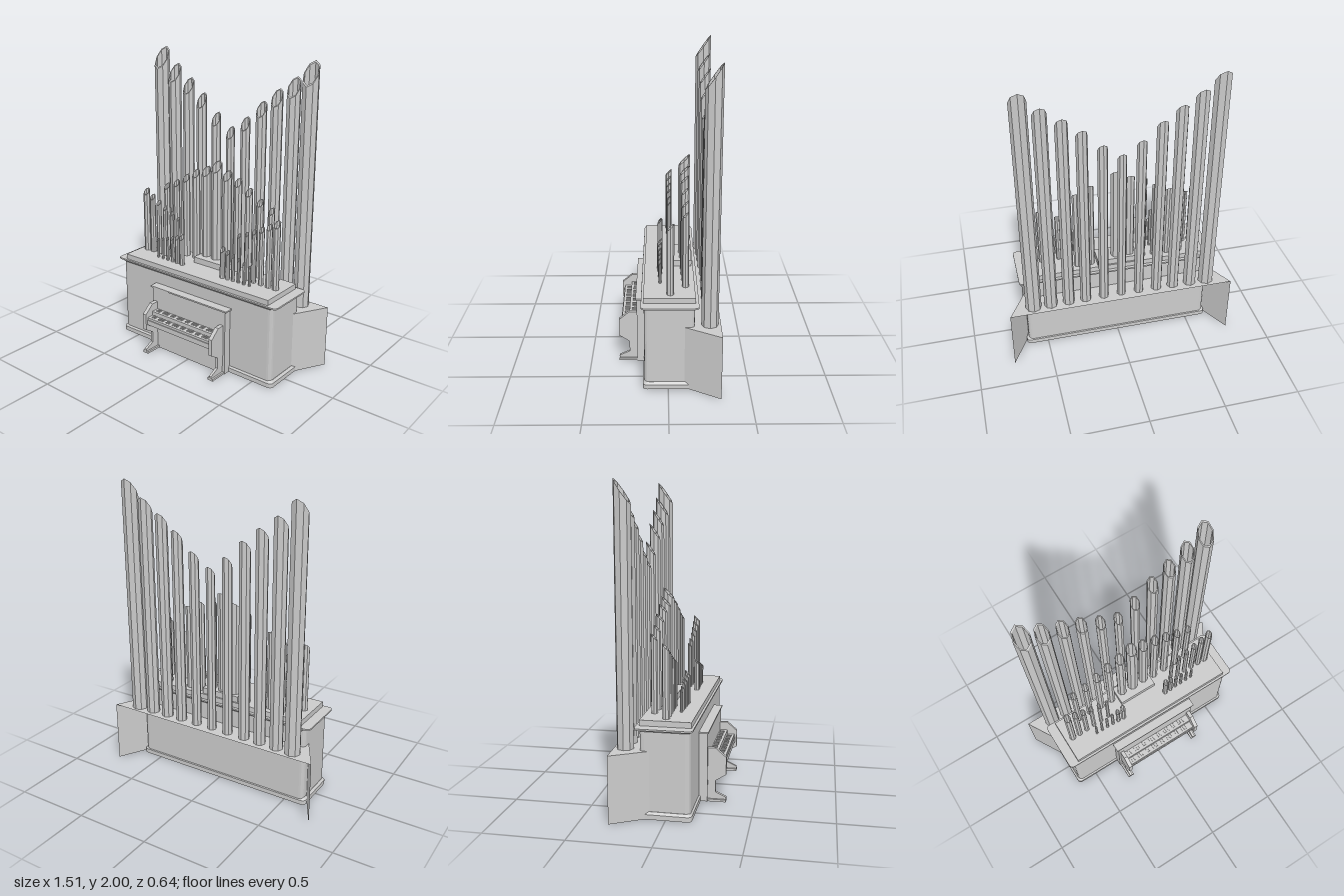
import * as THREE from 'three';

const grey = new THREE.MeshStandardMaterial({ color: 0xcccccc, flatShading: true });
const greyThin = new THREE.MeshStandardMaterial({ color: 0xcccccc, flatShading: true, side: THREE.DoubleSide });

function add(parent, name, geometry, material = grey) {
  const mesh = new THREE.Mesh(geometry, material);
  mesh.name = name;
  parent.add(mesh);
  return mesh;
}

// Box given by its limits on each axis
function box(parent, name, x0, x1, y0, y1, z0, z1) {
  const g = new THREE.BoxGeometry(x1 - x0, y1 - y0, z1 - z0);
  g.translate((x0 + x1) / 2, (y0 + y1) / 2, (z0 + z1) / 2);
  return add(parent, name, g);
}

// Slab with rounded vertical corners; its top may flare outwards by "flare"
function slab(parent, name, hw, z0, z1, y0, y1, r, flare = 0) {
  const hd = (z1 - z0) / 2;
  const s = new THREE.Shape();
  s.moveTo(-hw + r, -hd).lineTo(hw - r, -hd).quadraticCurveTo(hw, -hd, hw, -hd + r);
  s.lineTo(hw, hd - r).quadraticCurveTo(hw, hd, hw - r, hd);
  s.lineTo(-hw + r, hd).quadraticCurveTo(-hw, hd, -hw, hd - r);
  s.lineTo(-hw, -hd + r).quadraticCurveTo(-hw, -hd, -hw + r, -hd);
  const g = new THREE.ExtrudeGeometry(s, { depth: y1 - y0, bevelEnabled: false, curveSegments: 4 });
  g.rotateX(-Math.PI / 2);
  const p = g.attributes.position;
  for (let i = 0; i < p.count; i++) {
    if (p.getY(i) > (y1 - y0) / 2) {
      p.setX(i, p.getX(i) * (1 + flare / hw));
      p.setZ(i, p.getZ(i) * (1 + flare / hd));
    }
  }
  g.translate(0, y0, (z0 + z1) / 2);
  return add(parent, name, g);
}

// Side profile in (z, y), given a width across x
function sidePanel(parent, name, points, x, width) {
  const s = new THREE.Shape(points.map(([z, y]) => new THREE.Vector2(z, y)));
  const g = new THREE.ExtrudeGeometry(s, { depth: width, bevelEnabled: false });
  g.rotateY(-Math.PI / 2).translate(x + width / 2, 0, 0);
  return add(parent, name, g);
}

// Hollow eight-sided pipe, its mouth cut on a slant facing forwards
function pipe(parent, x, z, r, base, top, slope) {
  const h = top - base, ri = r * 0.86;
  const profile = [[r, 0], [r, h], [ri, h], [ri, 0]].map(([a, b]) => new THREE.Vector2(a, b));
  const g = new THREE.LatheGeometry(profile, 8);
  const p = g.attributes.position;
  for (let i = 0; i < p.count; i++) {
    if (p.getY(i) > h / 2) p.setY(i, h - slope * (p.getZ(i) + r));
  }
  g.translate(x, base, z);
  add(parent, 'pipe', g, greyThin);
}

// Mirrored row of pipes from [x, radius, top]
function pipeRow(parent, name, z, base, slope, list) {
  const row = new THREE.Group();
  row.name = name;
  for (const [x, r, top] of list) {
    for (const side of x === 0 ? [1] : [1, -1]) pipe(row, side * x, z, r, base, top, slope);
  }
  parent.add(row);
}

export function createModel() {
  const model = new THREE.Group();
  model.name = 'pipeOrgan';

  // Main case with skirting and cornice
  const organCase = new THREE.Group();
  organCase.name = 'case';
  model.add(organCase);
  slab(organCase, 'caseBody', 0.63, -0.16, 0.147, 0.0, 0.555, 0.03);
  slab(organCase, 'skirting', 0.645, -0.165, 0.157, 0, 0.03, 0.03);
  slab(organCase, 'skirtingBevel', 0.645, -0.165, 0.157, 0.03, 0.045, 0.03, -0.013);
  slab(organCase, 'corniceMoulding', 0.632, -0.165, 0.148, 0.54, 0.557, 0.03, 0.018);
  slab(organCase, 'cornice', 0.667, -0.185, 0.165, 0.555, 0.565, 0.03);
  box(organCase, 'windChest', -0.6, 0.6, 0.565, 0.6, -0.165, 0.15);
  box(organCase, 'centreBlock', -0.135, 0.135, 0.6, 0.64, -0.155, -0.03);

  // Splayed rear shelf on two side panels, open at the back and below
  const rear = new THREE.BufferGeometry();
  const corners = [];
  for (const y of [0, 0.42]) corners.push(-0.755, y, -0.32, -0.63, y, -0.1, 0.63, y, -0.1, 0.755, y, -0.32);
  rear.setAttribute('position', new THREE.Float32BufferAttribute(corners, 3));
  rear.setIndex([4, 5, 6, 4, 6, 7, 0, 1, 5, 0, 5, 4, 2, 3, 7, 2, 7, 6]);
  const rearFlat = rear.toNonIndexed();
  rearFlat.computeVertexNormals();
  add(model, 'rearShelf', rearFlat, greyThin);

  // Four rows of pipes, back to front
  pipeRow(model, 'backPipes', -0.252, 0.42, 1.42, [
    [0, 0.029, 1.525], [0.12, 0.032, 1.605], [0.243, 0.036, 1.72],
    [0.358, 0.039, 1.81], [0.478, 0.044, 1.895], [0.593, 0.052, 2.0]]);
  pipeRow(model, 'middlePipes', -0.107, 0.6, 1, [
    [0, 0.037, 1.32], [0.087, 0.032, 1.27], [0.175, 0.027, 1.235],
    [0.262, 0.026, 1.185], [0.35, 0.023, 1.13], [0.438, 0.021, 1.09]]);
  pipeRow(model, 'outerPipes', -0.013, 0.6, 1, [
    [0.545, 0.023, 1.055], [0.49, 0.02, 1.022], [0.433, 0.018, 0.99],
    [0.375, 0.016, 0.96], [0.317, 0.014, 0.93], [0.258, 0.013, 0.905]]);
  pipeRow(model, 'frontPipes', 0.05, 0.6, 1, [
    [0.173, 0.018, 0.813], [0.215, 0.015, 0.8], [0.258, 0.012, 0.783],
    [0.302, 0.011, 0.768], [0.345, 0.01, 0.753], [0.388, 0.009, 0.738]]);

  // Console standing against the case
  const consoleGroup = new THREE.Group();
  consoleGroup.name = 'console';
  model.add(consoleGroup);
  box(consoleGroup, 'consoleBack', -0.31, 0.31, 0, 0.447, 0.14, 0.2);
  box(consoleGroup, 'consoleCap', -0.323, 0.323, 0.447, 0.457, 0.14, 0.207);

  // Cheeks and footed legs on both sides
  for (const side of [1, -1]) {
    sidePanel(consoleGroup, 'cheek', [[0.19, 0.35], [0.25, 0.35], [0.317, 0.293], [0.317, 0.18],
      [0.25, 0.137], [0.19, 0.137]], side * 0.283, 0.027);
    sidePanel(consoleGroup, 'leg', [[0.19, 0.15], [0.25, 0.15], [0.25, 0.06], [0.317, 0.03],
      [0.317, 0], [0.19, 0]], side * 0.283, 0.018);
    box(consoleGroup, 'foot', side * 0.283 - 0.022, side * 0.283 + 0.022, 0, 0.015, 0.19, 0.317);
  }

  // Key desk with two manuals
  box(consoleGroup, 'keyDesk', -0.275, 0.275, 0.215, 0.25, 0.19, 0.305);
  const manuals = [['lowerManual', 0.25, 0.266, 0.3], ['upperManual', 0.266, 0.295, 0.252]];
  for (const [name, y0, y1, front] of manuals) {
    box(consoleGroup, name, -0.272, 0.272, y0, y1, 0.19, front);
    for (let i = 0; i < 28; i++) {
      if (i % 7 === 2 || i % 7 === 6) continue;
      const x = -0.243 + i * 0.018;
      box(consoleGroup, 'sharpKey', x - 0.004, x + 0.004, y1, y1 + 0.006, front - 0.045, front - 0.016);
    }
  }

  return model;
}
